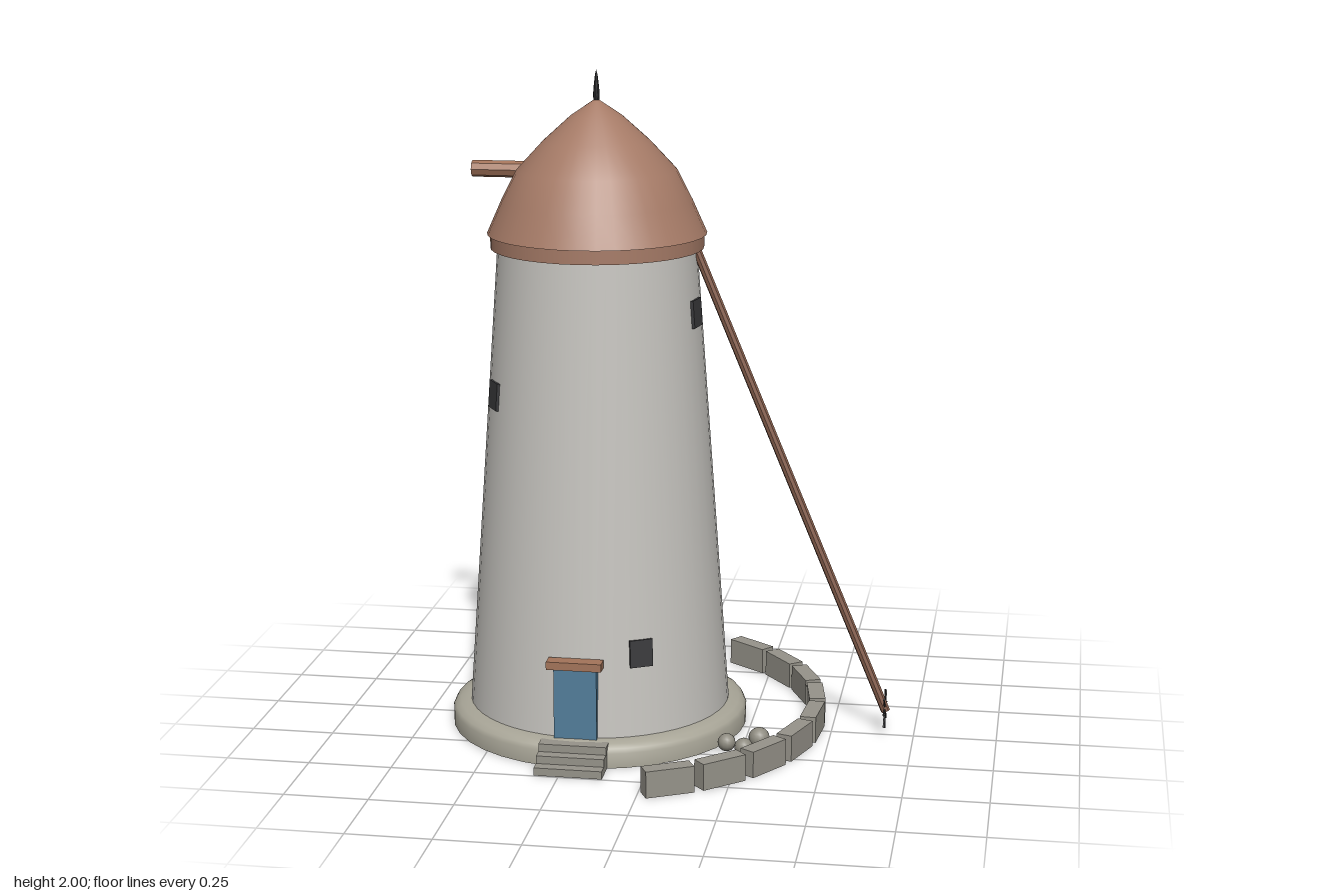
import * as THREE from 'three';
import { toCreasedNormals } from 'three/addons/utils/BufferGeometryUtils.js';

const material = (name, color, extra = {}) => new THREE.MeshStandardMaterial({ name, color, ...extra });

export function createModel() {
  const model = new THREE.Group();
  model.name = 'towerMill';

  const whitewash = material('whitewash', 0xc6c4bf);
  const plinthStone = material('plinth stone', 0xa8a597);
  const wallStone = material('wall stone', 0x96938a, { flatShading: true });
  const pebble = material('pebble stone', 0x8e8b80);
  const shingle = material('shingle', 0xa67b67);
  const timber = material('timber', 0x865e4c);
  const trim = material('trim wood', 0xa3745a);
  const doorBlue = material('door blue', 0x527e9b);
  const iron = material('iron', 0x2c2c2e);
  const glass = material('dark window', 0x39393b);

  const add = (parent, name, geometry, mat, x = 0, y = 0, z = 0) => {
    const mesh = new THREE.Mesh(geometry, mat);
    mesh.name = name;
    mesh.position.set(x, y, z);
    parent.add(mesh);
    return mesh;
  };
  const box = (w, h, d) => new THREE.BoxGeometry(w, h, d);
  const lathe = (profile, segments = 36) => toCreasedNormals(
    new THREE.LatheGeometry(profile.map(([r, y]) => new THREE.Vector2(r, y)), segments), 0.7);

  // Everything round is centred on the tower axis
  const mill = new THREE.Group();
  mill.name = 'mill';
  mill.position.set(-0.222, 0, -0.031);
  model.add(mill);

  // Plinth and tapering tower
  add(mill, 'plinth', lathe([[0, 0], [0.453, 0], [0.453, 0.045], [0.446, 0.058],
    [0.43, 0.068], [0.408, 0.074], [0.38, 0.075]]), plinthStone);
  const y0 = 0.07, y1 = 1.5, r0 = 0.398, r1 = 0.296;
  const slope = (r0 - r1) / (y1 - y0);
  add(mill, 'tower', new THREE.CylinderGeometry(r1, r0, y1 - y0, 48), whitewash, 0, (y0 + y1) / 2, 0);

  // Cap with its curb ring and finial
  add(mill, 'capRing', new THREE.CylinderGeometry(0.318, 0.318, 0.045, 36), shingle, 0, 1.4985, 0);
  add(mill, 'cap', lathe([[0, 1.518], [0.327, 1.518], [0.284, 1.615], [0.238, 1.706],
    [0.16, 1.79], [0.076, 1.866], [0, 1.917]]), shingle);
  add(mill, 'finial', lathe([[0.006, 1.89], [0.01, 1.925], [0.008, 1.95], [0.004, 1.985], [0, 2]], 10), iron);

  // Windshaft stub
  const shaft = add(mill, 'windshaft',
    toCreasedNormals(new THREE.CylinderGeometry(0.025, 0.025, 0.26, 8), 0.5), trim, -0.246, 1.701, 0);
  shaft.rotation.z = Math.PI / 2;

  // Windows: direction around the tower and height
  [[-0.28, 0.17, 1.05], [0.185, 0.333, 0.325], [0.305, 0.058, 1.295], [0.186, -0.30, 0.70]]
    .forEach(([dx, dz, y]) => {
      const angle = Math.atan2(dx, dz);
      const r = r0 - slope * (y - y0) + 0.002;
      const pane = add(mill, 'window', box(0.07, 0.082, 0.009), glass,
        r * Math.sin(angle), y, r * Math.cos(angle));
      pane.rotation.set(-Math.atan(slope), angle, 0, 'YXZ');
    });

  // Door, lintel and steps
  add(mill, 'door', box(0.128, 0.22, 0.06), doorBlue, 0, 0.18, 0.376);
  add(mill, 'lintel', box(0.164, 0.024, 0.045), trim, 0, 0.303, 0.404);
  for (let i = 0; i < 3; i++) {
    const front = 0.527 - i * 0.036;
    add(mill, 'step', box(0.202, 0.0235, front - 0.36), wallStone,
      0, 0.01175 + i * 0.0235, (front + 0.36) / 2);
  }

  // Tail pole running from the cap to the ground
  const top = new THREE.Vector3(0.285, 1.505, 0), foot = new THREE.Vector3(0.884, 0.065, 0);
  const direction = top.clone().sub(foot);
  const pole = add(mill, 'tailPole',
    toCreasedNormals(new THREE.CylinderGeometry(0.014, 0.014, direction.length(), 8), 0.5), timber);
  pole.position.copy(top).add(foot).multiplyScalar(0.5);
  pole.quaternion.setFromUnitVectors(new THREE.Vector3(0, 1, 0), direction.normalize());

  // Spoked winch at the foot of the pole
  for (let i = 0; i < 4; i++) {
    const spoke = add(mill, 'winchSpoke', new THREE.CylinderGeometry(0.003, 0.003, 0.125, 6), iron, 0.882, 0.072, 0);
    spoke.rotation.x = i * Math.PI / 4;
  }

  // Curved boundary wall of separate blocks
  for (let i = 0; i < 9; i++) {
    const angle = THREE.MathUtils.degToRad(-52.6 + i * 14.43);
    const block = add(mill, 'wallBlock', box(0.049, 0.08, 0.146), wallStone,
      0.669 * Math.cos(angle), 0.04, 0.669 * Math.sin(angle));
    block.rotation.y = -angle;
  }

  // Loose boulders between tower and wall
  [[0.206, 0.21, 0.027], [0.262, 0.246, 0.028], [0.299, 0.171, 0.032]].forEach(([x, z, r]) =>
    add(model, 'boulder', new THREE.SphereGeometry(r, 14, 10), pebble, x, r, z));

  return model;
}
